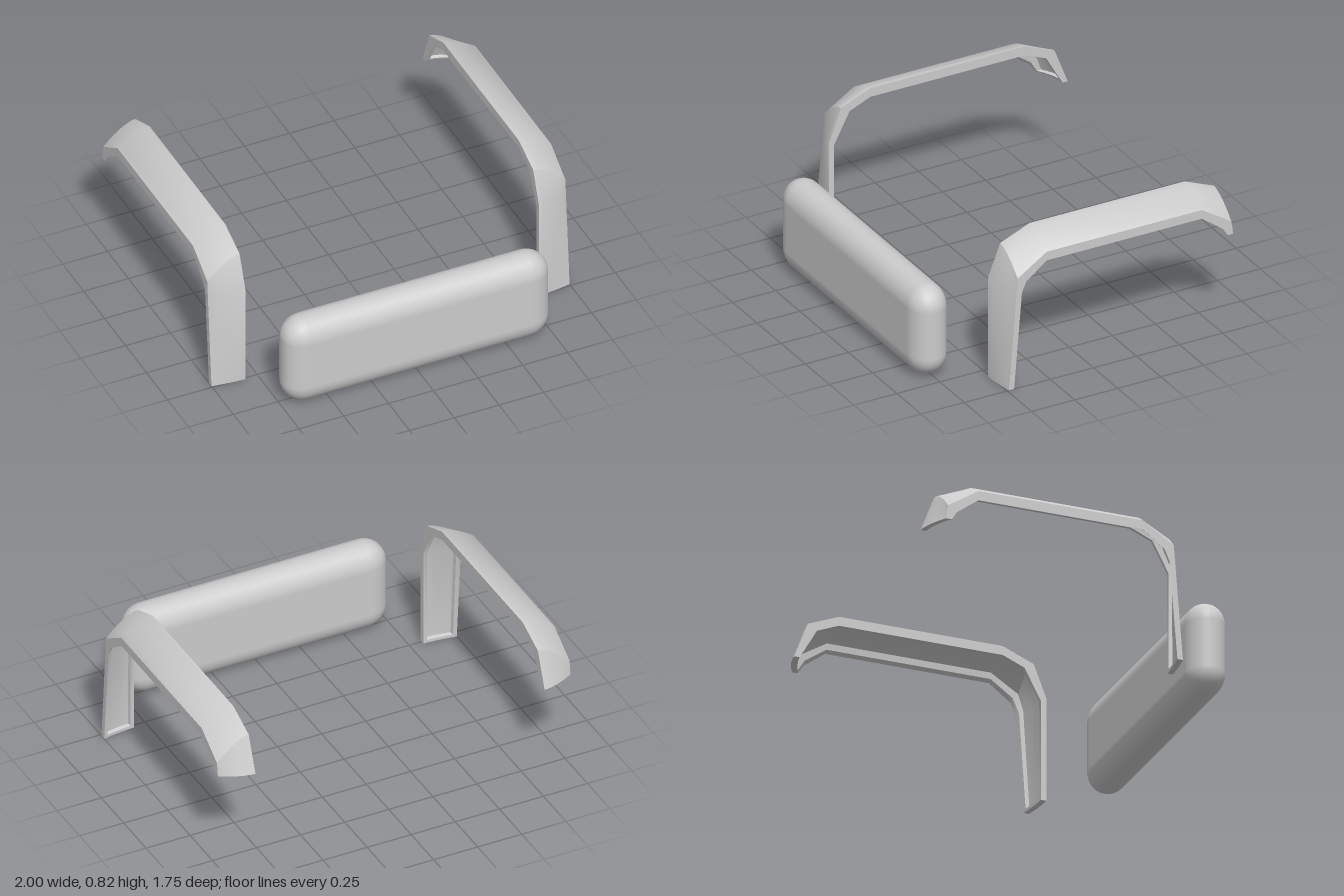
import * as THREE from 'three';
import { toCreasedNormals } from 'three/addons/utils/BufferGeometryUtils.js';
import { RoundedBoxGeometry } from 'three/addons/geometries/RoundedBoxGeometry.js';

const material = new THREE.MeshStandardMaterial({ color: 0xcccccc });

// Stations along the arch, front foot to rear tip:
// [z, y of inboard edge,  z, y of outboard edge,  z, y of offset to the underside]
const corners = [
  [0.51, 0, 0.49, 0, -0.03, 0],
  [0.51, 0.57, 0.445, 0.56, -0.03, -0.02],
  [0.44, 0.75, 0.44, 0.63, -0.05, -0.03],
  [0.27, 0.82, 0.27, 0.74, 0, -0.05],
  [-0.63, 0.82, -0.63, 0.74, 0, -0.05],
  [-0.8, 0.75, -0.8, 0.63, 0.05, -0.03],
  [-0.875, 0.555, -0.81, 0.555, 0.03, 0],
];
const between = (i, f) => corners[i].map((v, n) => v + (corners[i + 1][n] - v) * f);

// Extra stations near both ends leave a closing lip around the hollow underside
const stations = [
  { s: corners[0], k: 1 },
  { s: between(0, 0.03), k: 1 },
  { s: between(0, 0.04), k: 0.4 },
  ...corners.slice(1, 6).map((s) => ({ s, k: 0.4 })),
  { s: between(5, 0.87), k: 0.4 },
  { s: between(5, 0.9), k: 1 },
  { s: corners[6], k: 1 },
];

// Columns across the width; the middle ones are hollowed underneath
const columns = [0.82, 0.84, 0.845, 0.89, 0.94, 0.975, 0.98, 1];

function section({ s, k }, side) {
  const point = (x, depth) => {
    const t = Math.pow((x - 0.82) / 0.18, 1.7);
    return [
      side * x,
      s[1] + (s[3] - s[1]) * t + s[5] * depth,
      s[0] + (s[2] - s[0]) * t + s[4] * depth,
    ];
  };
  const top = columns.map((x) => point(x, 0));
  const under = columns.map((x, c) => point(x, c > 1 && c < 6 ? k : 1));
  return [...top, ...under.reverse()];
}

function fenderGeometry(side) {
  const n = columns.length * 2;
  const positions = stations.flatMap((st) => section(st, side).flat());
  const index = [];
  const quad = (a, b, c, d) =>
    side > 0 ? index.push(a, b, c, a, c, d) : index.push(a, c, b, a, d, c);
  // Skin
  for (let i = 0; i < stations.length - 1; i++) {
    for (let j = 0; j < n; j++) {
      const m = (j + 1) % n;
      quad(i * n + j, i * n + m, (i + 1) * n + m, (i + 1) * n + j);
    }
  }
  // End caps, joining each top point to the one beneath it
  const last = (stations.length - 1) * n;
  for (let j = 0; j < columns.length - 1; j++) {
    quad(j, n - 1 - j, n - 2 - j, j + 1);
    quad(last + j, last + j + 1, last + n - 2 - j, last + n - 1 - j);
  }
  const geometry = new THREE.BufferGeometry();
  geometry.setAttribute('position', new THREE.Float32BufferAttribute(positions, 3));
  geometry.setIndex(index);
  return toCreasedNormals(geometry, 0.52);
}

export function createModel() {
  const group = new THREE.Group();

  // Pillow-edged bumper block across the front
  const bumperGeometry = new RoundedBoxGeometry(1.48, 0.505, 0.25, 5, 0.12);
  bumperGeometry.scale(1, 1, 0.84);
  const bumper = new THREE.Mesh(bumperGeometry, material);
  bumper.name = 'bumper';
  bumper.position.set(0, 0.2625, 0.765);
  group.add(bumper);

  // Mirrored arched fenders
  for (const side of [1, -1]) {
    const fender = new THREE.Mesh(fenderGeometry(side), material);
    fender.name = side > 0 ? 'leftFender' : 'rightFender';
    group.add(fender);
  }
  return group;
}
